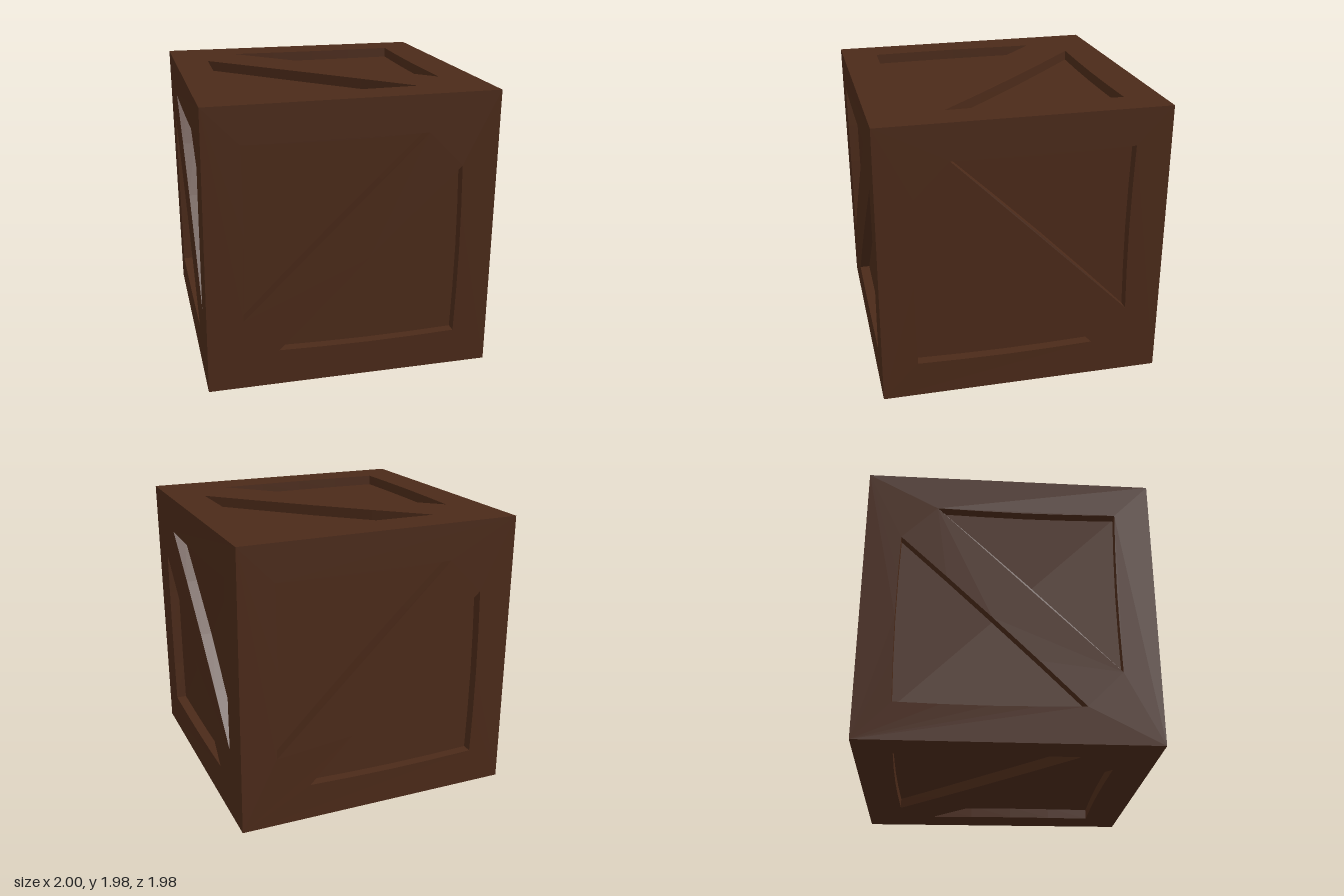
import * as THREE from 'three';

const HALF = 0.985;   // half the crate's edge
const DEPTH = 0.085;  // thickness of the frame plates
const FLOOR = 0.915;  // half size of the recessed core

// Triangular opening whose sides bow slightly, like hand-cut wood
function opening(corners, bow) {
  const points = [];
  corners.forEach(([x, y], i) => {
    const [nx, ny] = corners[(i + 1) % 3];
    const dx = nx - x, dy = ny - y, length = Math.hypot(dx, dy);
    for (let k = 0; k < 4; k++) {
      const t = k / 4, b = bow * Math.sin(Math.PI * t) / length;
      points.push(new THREE.Vector2(x + dx * t + dy * b, y + dy * t - dx * b));
    }
  });
  return points;
}

// Slight twist and widening that keeps shared corners together
function warp(geometry) {
  const p = geometry.attributes.position;
  for (let i = 0; i < p.count; i++) {
    const x = p.getX(i), y = p.getY(i), z = p.getZ(i);
    p.setXYZ(i, x * 1.006 + 0.008 * y * z, y + 0.003 * x * z, z - 0.005 * x * y);
  }
  geometry.computeVertexNormals();
  return geometry;
}

// Frame with a diagonal brace: a square with two triangular openings
function framePlate(flip, rotX, rotY) {
  const s = HALF;
  const tri = [[-0.74, 0.73], [-0.74, -0.485], [0.5, 0.73]];
  const shape = new THREE.Shape([[-s, -s], [s, -s], [s, s], [-s, s]].map(([x, y]) => new THREE.Vector2(x, y)));
  const holes = [opening(tri, -0.012), opening(tri.map(([x, y]) => [-x, -y]), 0.012)];
  holes.forEach((points) => {
    // Mirrored openings are listed backwards to keep their winding
    points.forEach((v) => { v.x *= flip; });
    if (flip < 0) points.reverse();
    shape.holes.push(new THREE.Path(points));
  });
  const g = new THREE.ExtrudeGeometry(shape, { depth: DEPTH, bevelEnabled: false });

  // Mitre the outer rim so neighbouring plates meet along the edges
  const p = g.attributes.position;
  const k = (HALF - DEPTH) / HALF;
  for (let i = 0; i < p.count; i++) {
    const x = p.getX(i), y = p.getY(i);
    if (p.getZ(i) < DEPTH / 2 && Math.abs(x) > HALF - 0.01) p.setXY(i, x * k, y * k);
  }
  g.translate(0, 0, HALF - DEPTH);
  g.rotateX(rotX);
  g.rotateY(rotY);
  return warp(g);
}

export function createModel() {
  const crate = new THREE.Group();
  crate.name = 'crate';
  const wood = new THREE.MeshStandardMaterial({ color: 0x4b2a19, flatShading: true });

  const add = (name, geometry) => {
    const mesh = new THREE.Mesh(geometry, wood);
    mesh.name = name;
    mesh.position.y = HALF + 0.003;
    crate.add(mesh);
  };

  // Recessed panels
  add('innerPanels', warp(new THREE.BoxGeometry(FLOOR * 2, FLOOR * 2, FLOOR * 2)));

  // Braced frames on all six sides
  const q = Math.PI / 2;
  [
    ['frontFrame', 1, 0, 0],
    ['backFrame', 1, 0, 2 * q],
    ['leftFrame', -1, 0, q],
    ['rightFrame', -1, 0, -q],
    ['topFrame', -1, -q, 0],
    ['bottomFrame', -1, q, 0],
  ].forEach(([name, flip, rotX, rotY]) => add(name, framePlate(flip, rotX, rotY)));

  return crate;
}
